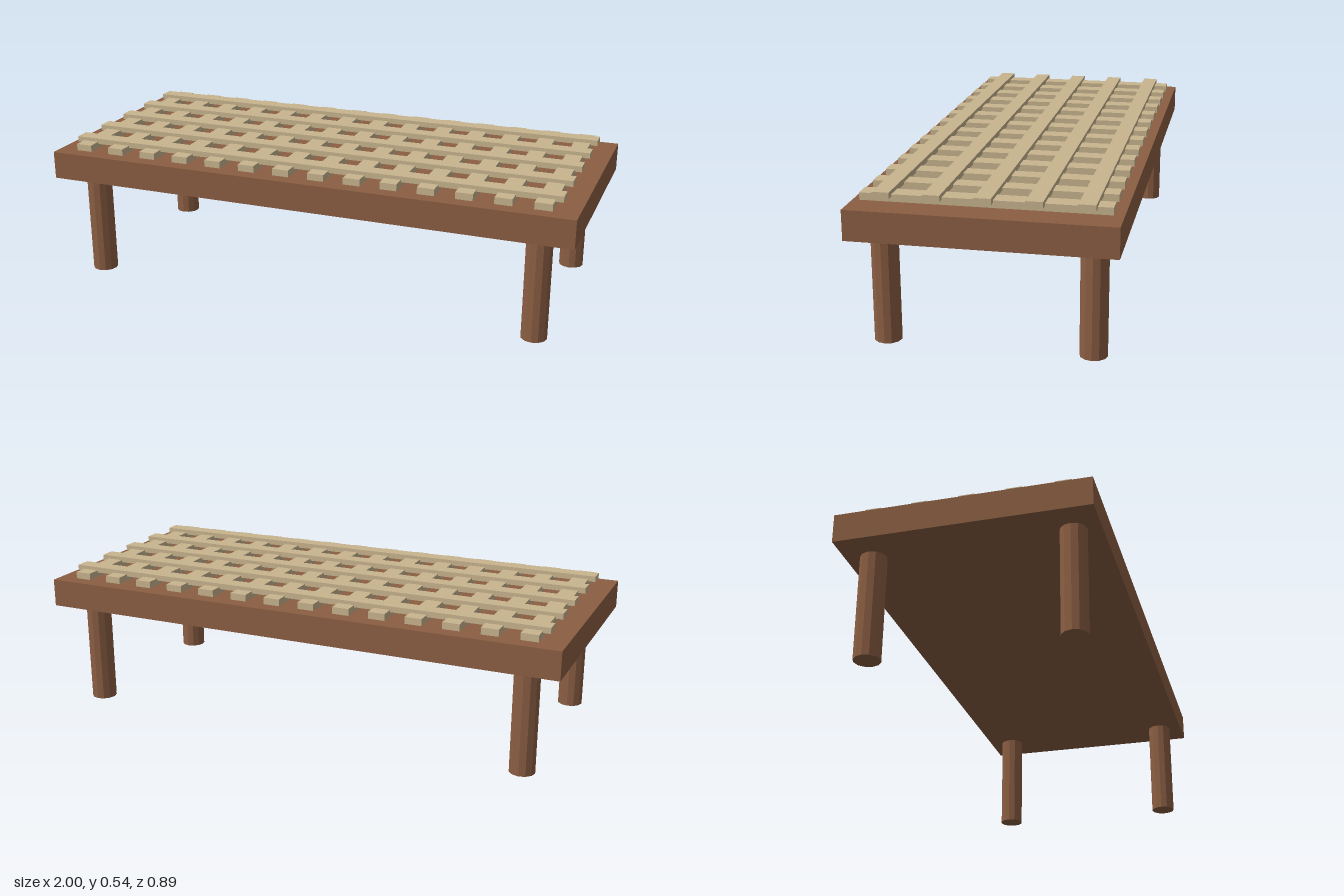
import * as THREE from 'three';

export function createModel() {
  const model = new THREE.Group();
  model.name = 'slattedBench';

  const brownWood = new THREE.MeshStandardMaterial({ color: 0x8b5e43 });
  brownWood.name = 'brown wood';
  brownWood.flatShading = true;
  const paleWood = new THREE.MeshStandardMaterial({ color: 0xc8b48e });
  paleWood.name = 'pale wood';

  const add = (parent, name, geometry, material, x, y, z) => {
    const mesh = new THREE.Mesh(geometry, material);
    mesh.name = name;
    mesh.position.set(x, y, z);
    parent.add(mesh);
  };
  const group = (name) => {
    const g = new THREE.Group();
    g.name = name;
    model.add(g);
    return g;
  };

  // Solid base board
  add(model, 'baseBoard', new THREE.BoxGeometry(2, 0.104, 0.886), brownWood, 0, 0.439, 0);

  // Four round legs, inset from the corners
  const legs = group('legs');
  const legGeometry = new THREE.CylinderGeometry(0.047, 0.047, 0.388, 12);
  for (const x of [-0.866, 0.866]) {
    for (const z of [-0.348, 0.348]) add(legs, 'leg', legGeometry, brownWood, x, 0.194, z);
  }

  // Lower layer: cross slats, floating just above the board
  const crossSlats = group('crossSlats');
  const crossGeometry = new THREE.BoxGeometry(0.062, 0.025, 0.822);
  for (let i = 0; i < 14; i++) {
    add(crossSlats, 'crossSlat', crossGeometry, paleWood, (i - 6.5) * 0.1358, 0.5115, 0);
  }

  // Upper layer: long slats, let into the cross slats
  const longSlats = group('longSlats');
  const longGeometry = new THREE.BoxGeometry(1.88, 0.021, 0.057);
  for (let i = -2; i <= 2; i++) {
    add(longSlats, 'longSlat', longGeometry, paleWood, 0, 0.5265, i * 0.166);
  }

  return model;
}
